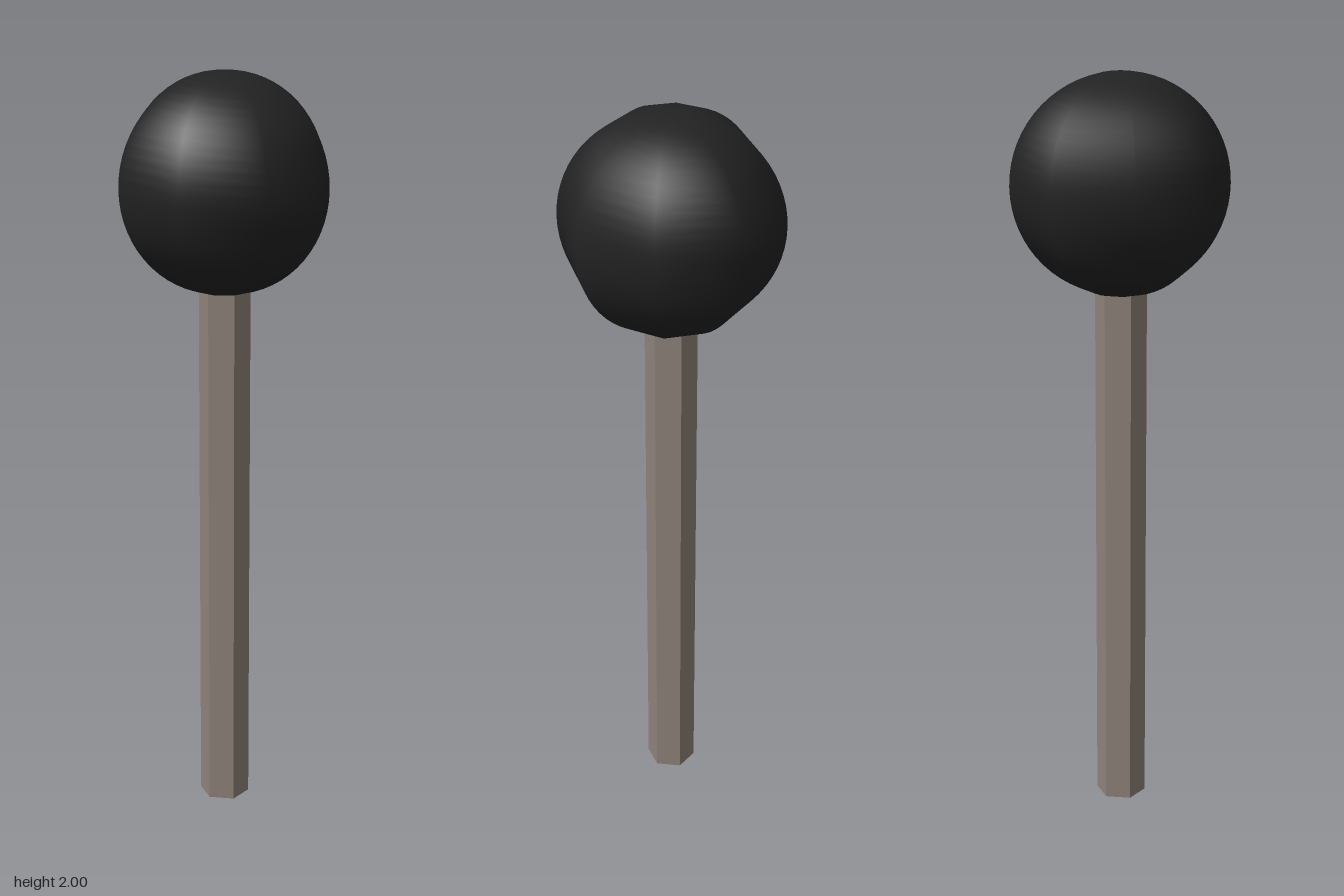
import * as THREE from 'three';

export function createModel() {
  const model = new THREE.Group();
  const shaftColor = new THREE.MeshStandardMaterial({ color: 0x8d8279 });
  shaftColor.name = 'warm grey';
  shaftColor.flatShading = true;
  const ballColor = new THREE.MeshStandardMaterial({ color: 0x222222 });
  ballColor.name = 'near black';

  const add = (name, geometry, material, y) => {
    const mesh = new THREE.Mesh(geometry, material);
    mesh.name = name;
    mesh.position.y = y;
    model.add(mesh);
  };

  // Hexagonal shaft, its top end sunk into the ball
  const shaftHeight = 1.5;
  add('shaft', new THREE.CylinderGeometry(0.068, 0.068, shaftHeight, 6), shaftColor, shaftHeight / 2);

  // Ball with eight sides around and fine rings from pole to pole
  const radius = 0.284;
  add('ball', new THREE.SphereGeometry(radius, 8, 32), ballColor, 2 - radius);

  return model;
}
